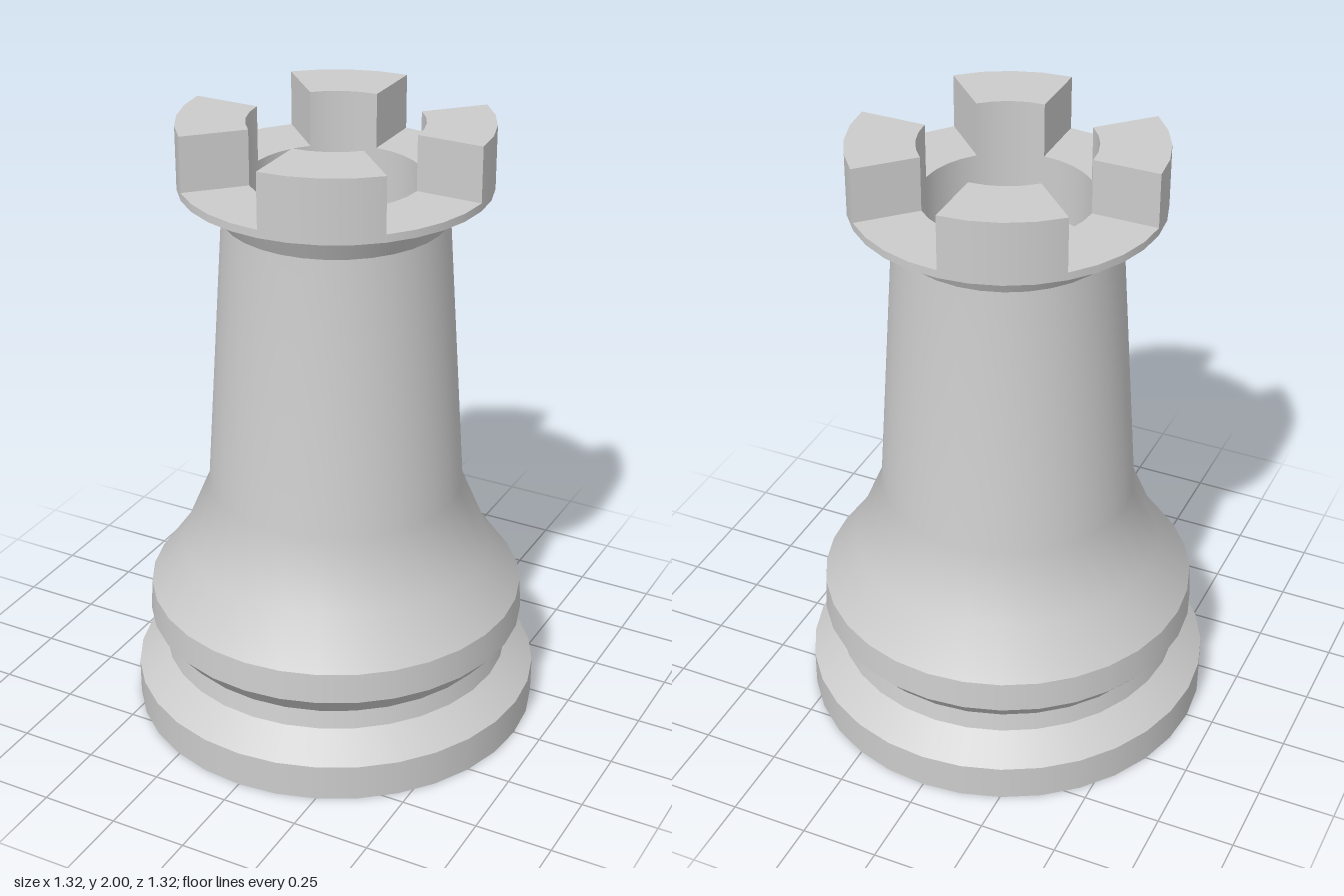
import * as THREE from 'three';
import { mergeGeometries } from 'three/addons/utils/BufferGeometryUtils.js';

const SEGMENTS = 32;
const RIM = 0.48, WELL = 0.27, DECK = 1.825, TOP = 2;

// Revolves a profile; each run is smooth within itself and creased against its neighbours.
function revolve(runs, start = 0, length = Math.PI * 2) {
  const segments = Math.round(SEGMENTS * length / (Math.PI * 2));
  return runs.map(run => new THREE.LatheGeometry(
    run.map(([r, y]) => new THREE.Vector2(r, y)), segments, start, length));
}

// Splits a polyline into single-segment runs, so every corner is sharp.
const sharp = points => points.slice(1).map((p, i) => [points[i], p]);

// Flat end wall of a battlement at the given angle; side is -1 for its start, 1 for its end.
function endWall(angle, side) {
  return new THREE.PlaneGeometry(RIM - WELL, TOP - DECK)
    .translate(-side * (RIM + WELL) / 2, (TOP + DECK) / 2, 0)
    .rotateY(side * Math.PI / 2 + angle);
}

export function createModel() {
  const group = new THREE.Group();
  const material = new THREE.MeshStandardMaterial({ color: 0xcccccc });
  const add = (name, geometries) => {
    const mesh = new THREE.Mesh(mergeGeometries(geometries), material);
    mesh.name = name;
    group.add(mesh);
  };

  // Foot, with its sloped shoulder and the groove above
  add('base', revolve(sharp([
    [0, 0], [0.66, 0], [0.66, 0.12], [0.565, 0.2], [0.555, 0.26],
  ])));

  // Collar band over the groove
  add('collar', revolve(sharp([[0.555, 0.26], [0.613, 0.33], [0.607, 0.43]])));

  // Flared, tapering tower
  add('tower', revolve([[[0.607, 0.43], [0.5, 0.58], [0.41, 0.795], [0.35, 1.7]]]));

  // Rim, deck and the sunken well
  add('rim', revolve(sharp([
    [0.35, 1.7], [0.39, 1.775], [RIM, 1.8], [RIM, DECK],
    [WELL, DECK], [WELL, 1.62], [0, 1.62],
  ])));

  // Four battlements, each an eighth of the ring
  const span = Math.PI / 4;
  for (let i = 0; i < 4; i++) {
    const start = i * Math.PI / 2;
    add('battlement' + (i + 1), [
      ...revolve(sharp([[RIM, DECK], [RIM, TOP], [WELL, TOP], [WELL, DECK]]), start, span),
      endWall(start, -1),
      endWall(start + span, 1),
    ]);
  }
  return group;
}
